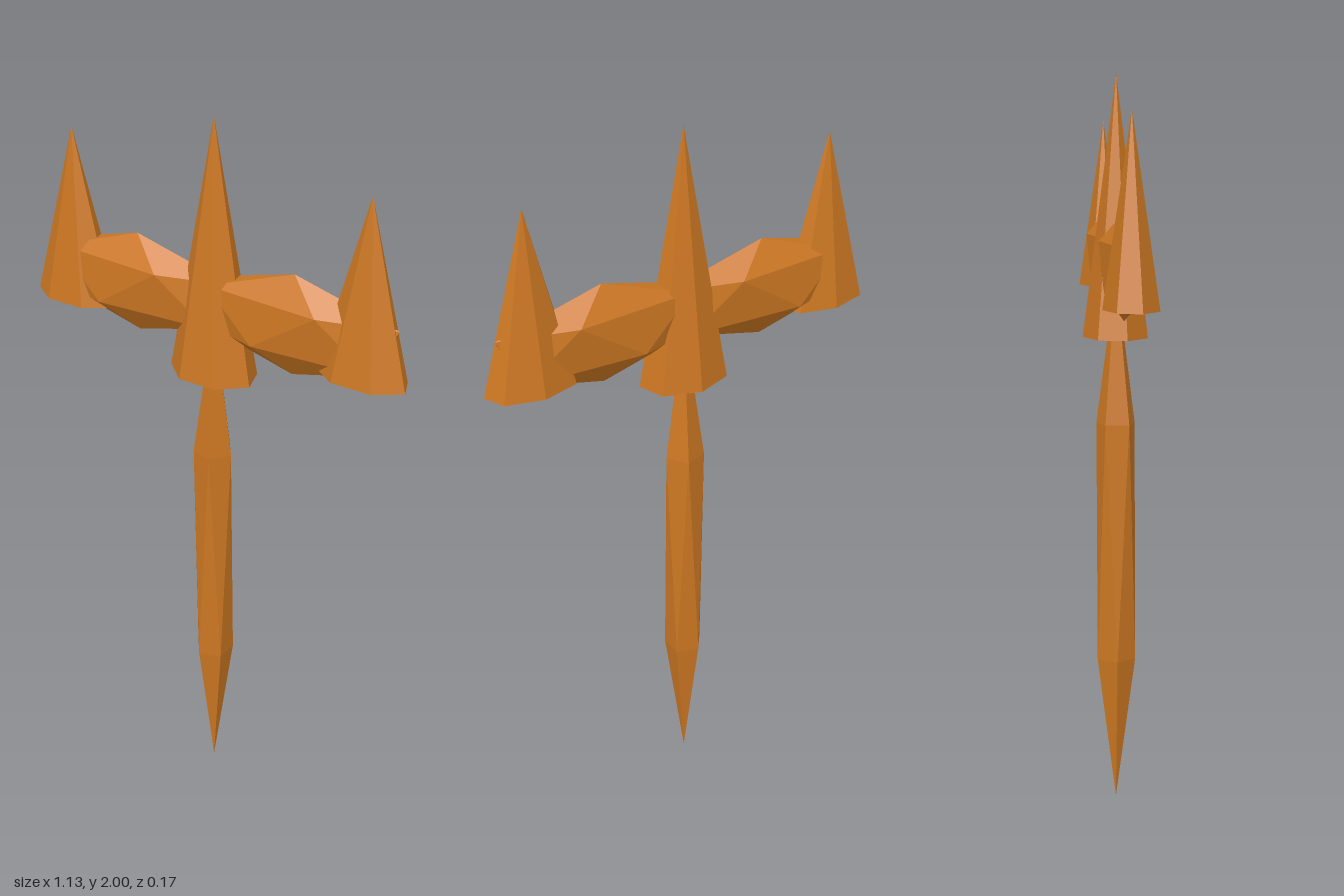
import * as THREE from 'three';

export function createModel() {
  const model = new THREE.Group();
  model.name = 'trident';
  const ochre = new THREE.MeshStandardMaterial({ color: 0xcc7722, flatShading: true });
  ochre.name = 'ochre';

  const add = (name, geometry, x, y) => {
    const mesh = new THREE.Mesh(geometry, ochre);
    mesh.name = name;
    mesh.position.set(x, y, 0);
    model.add(mesh);
  };

  // Icosahedron standing on a corner, stretched to the given radii
  const gem = (rx, ry, rz) => {
    const tilt = Math.atan(2 / (1 + Math.sqrt(5)));
    return new THREE.IcosahedronGeometry(1, 0).rotateZ(-tilt).scale(rx, ry, rz);
  };

  // Seven-sided spike, flattened front to back, base at y = 0
  const spike = (rx, height, rz) =>
    new THREE.ConeGeometry(1, height, 7).rotateY(Math.PI).translate(0, height / 2, 0).scale(rx, 1, rz);

  // Shaft and central prong
  add('shaft', gem(0.0615, 0.74, 0.0615), 0, 0.74);
  add('centreProng', spike(0.126, 0.693, 0.09), 0, 1.307);

  // Crossbar lumps and outer prongs
  for (const [side, s] of [['left', 1], ['right', -1]]) {
    add(side + 'Crossbar', gem(0.33, 0.137, 0.067), s * 0.238, 1.508);
    add(side + 'Prong', spike(0.128, 0.474, 0.071), s * 0.441, 1.417);
  }
  return model;
}
